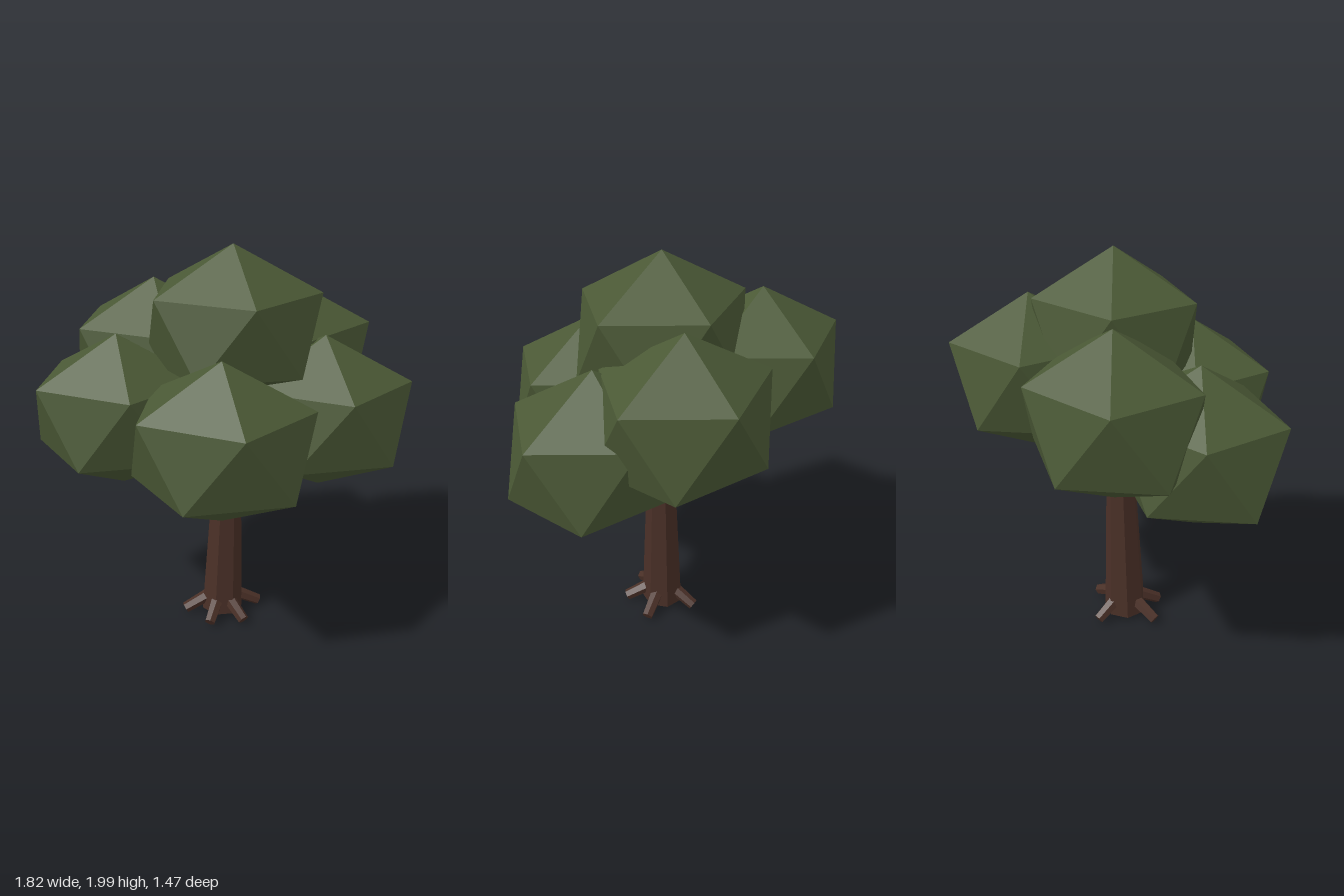
import * as THREE from 'three';

const leafMaterial = new THREE.MeshStandardMaterial({ color: 0x4a5835 });
leafMaterial.name = 'leaf green';
leafMaterial.flatShading = true;
const barkMaterial = new THREE.MeshStandardMaterial({ color: 0x4a3027 });
barkMaterial.name = 'bark brown';
barkMaterial.flatShading = true;

const vec = (p) => new THREE.Vector3(...p);

// Tapered limb between two points, turned to follow its direction
function limb(name, from, to, r0, r1, sides) {
  const a = vec(from), b = vec(to), dir = b.clone().sub(a);
  const geometry = new THREE.CylinderGeometry(r1, r0, dir.length(), sides, 1, false, Math.PI / 2);
  const mesh = new THREE.Mesh(geometry, barkMaterial);
  mesh.quaternion.setFromUnitVectors(new THREE.Vector3(0, 1, 0), dir.normalize());
  mesh.position.copy(a).add(b).multiplyScalar(0.5);
  mesh.name = name;
  return mesh;
}

// Ring-by-ring trunk with level cross-sections whose centres drift sideways
function trunk(rings, sides) {
  const geometry = new THREE.CylinderGeometry(1, 1, 1, sides, rings.length - 1, false, Math.PI / 2);
  const pos = geometry.attributes.position;
  for (let i = 0; i < pos.count; i++) {
    const [x, y, z, r] = rings[Math.round((pos.getY(i) + 0.5) * (rings.length - 1))];
    pos.setXYZ(i, x + pos.getX(i) * r, y, z + pos.getZ(i) * r);
  }
  geometry.computeVertexNormals();
  const mesh = new THREE.Mesh(geometry, barkMaterial);
  mesh.name = 'trunk';
  return mesh;
}

export function createModel() {
  const tree = new THREE.Group();
  tree.name = 'tree';

  // Trunk: wide lower stem, slim top hidden in the crown
  tree.add(trunk([
    [0, 0.03, -0.045, 0.111],
    [0.026, 0.9, -0.053, 0.072],
    [0.04, 1.45, -0.06, 0.03],
  ], 7));

  // Roots: short stubs sloping down around the base
  const roots = new THREE.Group();
  roots.name = 'roots';
  for (const degrees of [50, 103, 160, 262, 345]) {
    const a = THREE.MathUtils.degToRad(degrees), c = Math.cos(a), s = Math.sin(a);
    roots.add(limb('root', [c * 0.05, 0.115, s * 0.05 - 0.045],
      [c * 0.205, 0.036, s * 0.19 - 0.045], 0.036, 0.029, 6));
  }
  tree.add(roots);

  // Branches: rising from the top of the stem into the leaf clumps
  const branches = new THREE.Group();
  branches.name = 'branches';
  const tips = [[-0.28, 1.12, 0], [0.3, 1.12, -0.05], [0.04, 1.12, 0.22], [-0.2, 1.25, -0.22], [0.2, 1.25, -0.24]];
  for (const tip of tips) branches.add(limb('branch', [0.026, 0.87, -0.053], tip, 0.038, 0.024, 6));
  tree.add(branches);

  // Crown: six equal faceted clumps, each standing on a corner
  const clump = new THREE.IcosahedronGeometry(1, 0);
  clump.rotateZ(-Math.atan(2 / (1 + Math.sqrt(5))));
  clump.scale(0.467, 0.39, 0.418);
  clump.computeVertexNormals();
  const crown = new THREE.Group();
  crown.name = 'crown';
  const clumps = {
    topLeaves: [0.05, 1.61, -0.068],
    frontLeaves: [0.04, 1.2, 0.38],
    rightLeaves: [-0.495, 1.2, 0.027],
    leftLeaves: [0.49, 1.2, -0.045],
    backRightLeaves: [-0.37, 1.39, -0.333],
    backLeftLeaves: [0.298, 1.39, -0.38],
  };
  for (const [name, position] of Object.entries(clumps)) {
    const mesh = new THREE.Mesh(clump, leafMaterial);
    mesh.name = name;
    mesh.position.set(...position);
    crown.add(mesh);
  }
  tree.add(crown);
  return tree;
}
